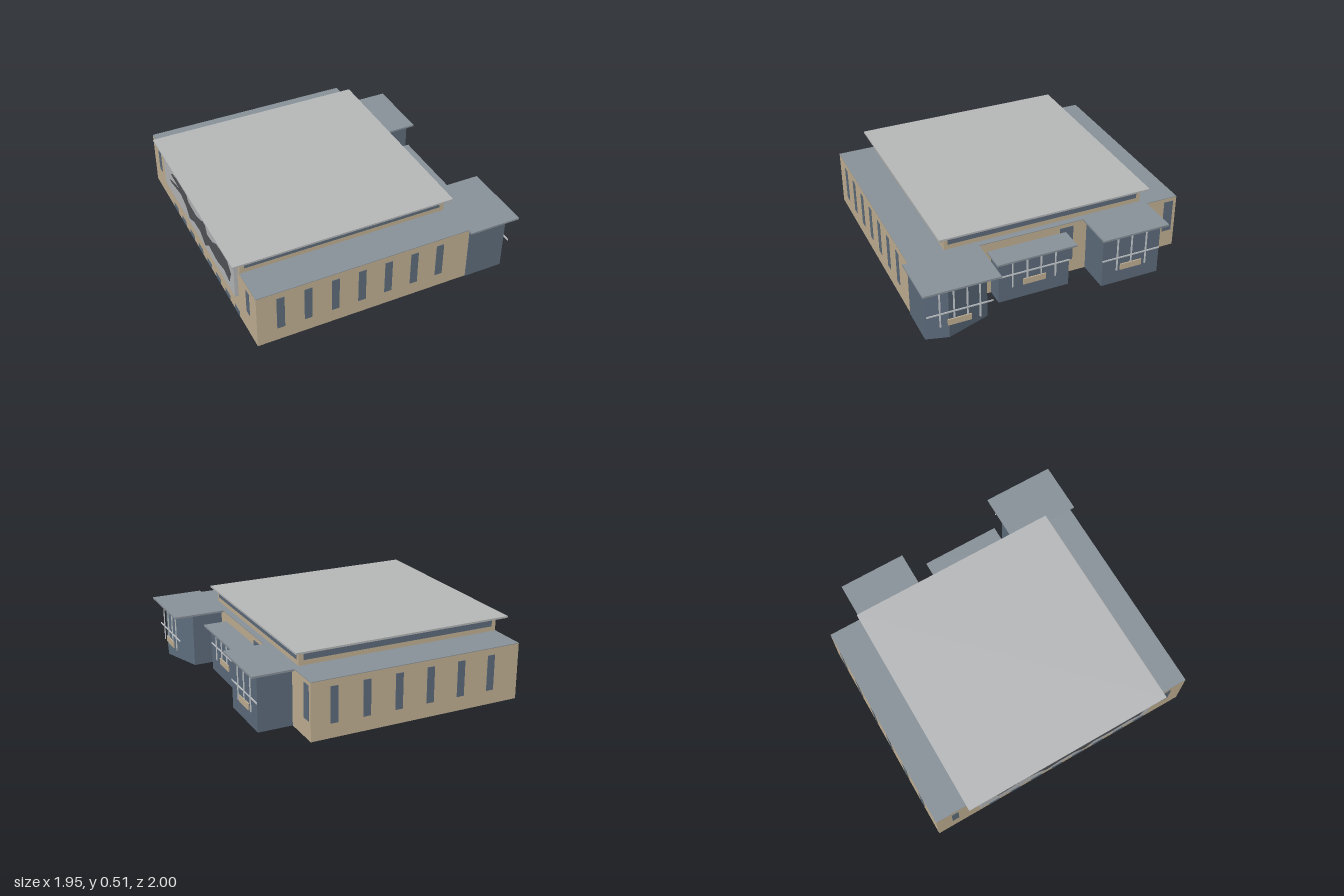
import * as THREE from 'three';

const mat = (name, color) => {
  const m = new THREE.MeshStandardMaterial({ color });
  m.name = name;
  return m;
};

export function createModel() {
  const wall = mat('tan wall', 0xc4b396);
  const glass = mat('blue glass', 0x5f6e7e);
  const lowRoof = mat('slate roof', 0x8a939b);
  const topRoof = mat('pale grey roof', 0xb8babb);
  const frame = mat('light frame', 0xc8ccd0);
  const dark = mat('dark mural', 0x525559);

  const model = new THREE.Group();
  model.name = 'building';

  // box given by its limits on each axis
  const box = (name, m, x0, x1, y0, y1, z0, z1, parent = model) => {
    const mesh = new THREE.Mesh(new THREE.BoxGeometry(x1 - x0, y1 - y0, z1 - z0), m);
    mesh.position.set((x0 + x1) / 2, (y0 + y1) / 2, (z0 + z1) / 2);
    mesh.name = name;
    parent.add(mesh);
    return mesh;
  };
  const T = 0.003; // thickness of window plates

  // Lower storey and its flat roof
  box('lowerStorey', wall, -0.915, 0.61, 0, 0.396, -1, 0.965);
  box('lowerRoof', lowRoof, -0.915, 0.61, 0.396, 0.4, -1, 0.965);

  // Upper storey, clerestory strips and overhanging roof
  box('upperStorey', wall, -0.912, 0.565, 0.4, 0.497, -0.73, 0.705);
  box('frontClerestory', glass, -0.88, 0.53, 0.435, 0.49, 0.705, 0.705 + T);
  box('backClerestory', glass, -0.88, 0.53, 0.435, 0.49, -0.73 - T, -0.73);
  box('rightClerestory', glass, 0.565, 0.565 + T, 0.435, 0.49, -0.7, 0.68);
  box('mainRoof', topRoof, -0.975, 0.605, 0.497, 0.51, -0.78, 0.75);

  // Tall windows on the front and back walls
  for (let i = 0; i < 7; i++) {
    const x = -0.752 + i * 0.1905;
    box('frontWindow', glass, x - 0.027, x + 0.027, 0.1, 0.35, 0.965, 0.965 + T);
  }
  for (let i = 0; i < 6; i++) {
    const x = -0.7 + i * 0.23;
    box('backWindow', glass, x - 0.027, x + 0.027, 0.1, 0.35, -1 - T, -1);
  }

  // Side wall windows
  box('sideWindow', glass, 0.61, 0.61 + T, 0.1, 0.37, -0.2, -0.1);
  box('sideWindow', glass, 0.61, 0.61 + T, 0.13, 0.37, -0.975, -0.905);
  for (const z of [-0.86, 0.83]) {
    box('sideWindow', glass, -0.915 - T, -0.915, 0.17, 0.35, z - 0.025, z + 0.025);
  }
  for (let i = 0; i < 8; i++) {
    const z = -0.56 + i * 0.17;
    box('basementWindow', glass, -0.915 - T, -0.915, 0.005, 0.045, z - 0.04, z + 0.04);
  }

  // Mural panel on the left wall
  box('muralPanel', topRoof, -0.94, -0.912, 0.185, 0.497, -0.68, 0.67);
  const outline = [
    [-0.56, 0.3], [-0.36, 0.355], [-0.52, 0.365], [-0.49, 0.39], [-0.36, 0.417], [-0.2, 0.418],
    [-0.15, 0.37], [-0.01, 0.36], [0.1, 0.39], [0.16, 0.45], [0.2, 0.35], [0.3, 0.36],
    [0.37, 0.4], [0.45, 0.41], [0.53, 0.465], [0.58, 0.4], [0.63, 0.35], [0.59, 0.25],
    [0.5, 0.28], [0.37, 0.253], [0.22, 0.27], [0.145, 0.21], [0.06, 0.27], [-0.06, 0.265],
    [-0.16, 0.225], [-0.22, 0.29], [-0.32, 0.325], [-0.54, 0.285],
  ].map(([z, y]) => new THREE.Vector2(z, y));
  const mural = new THREE.Mesh(new THREE.ShapeGeometry(new THREE.Shape(outline)), dark);
  mural.geometry.rotateY(-Math.PI / 2);
  mural.position.x = -0.943;
  mural.name = 'muralArtwork';
  model.add(mural);

  // Glazed bays on the right side: footprint [x, z], roof, frame bars and sill panel
  const bays = [
    { name: 'frontBay', foot: [[0.61, 0.97], [0.89, 0.97], [0.93, 0.82], [0.83, 0.52], [0.61, 0.52]],
      x: 0.93, z: [0.52, 0.97], h: 0.387, roof: [0.605, 0.975, 0.48, 1],
      bars: [0.88, 0.785, 0.695, 0.61], sill: [0.67, 0.83] },
    { name: 'middleBay', foot: [[0.61, 0.4], [0.735, 0.4], [0.735, -0.11], [0.61, -0.11]],
      x: 0.735, z: [-0.11, 0.4], h: 0.322, roof: [0.61, 0.78, -0.145, 0.425],
      bars: [0.3, 0.195, 0.095, -0.01], sill: [0.06, 0.225] },
    { name: 'backBay', foot: [[0.61, -0.3], [0.85, -0.3], [0.85, -0.73], [0.61, -0.73]],
      x: 0.85, z: [-0.73, -0.3], h: 0.387, roof: [0.61, 0.897, -0.765, -0.275],
      bars: [-0.41, -0.515, -0.625], sill: [-0.595, -0.435] },
  ];
  for (const b of bays) {
    const g = new THREE.Group();
    g.name = b.name;
    model.add(g);
    const shape = new THREE.Shape(b.foot.map(([x, z]) => new THREE.Vector2(x, -z)));
    const geo = new THREE.ExtrudeGeometry(shape, { depth: b.h, bevelEnabled: false });
    geo.rotateX(-Math.PI / 2);
    const body = new THREE.Mesh(geo, glass);
    body.name = 'bayGlass';
    g.add(body);
    const [x0, x1, z0, z1] = b.roof;
    box('bayRoof', lowRoof, x0, x1, b.h, b.h + 0.013, z0, z1, g);
    for (const z of b.bars) {
      box('mullion', frame, b.x, b.x + 0.006, 0.1, b.h, z - 0.005, z + 0.005, g);
    }
    box('transom', frame, b.x, b.x + 0.005, 0.195, 0.205, b.z[0], b.z[1], g);
    box('sillPanel', wall, b.x, b.x + 0.008, 0.1, 0.145, b.sill[0], b.sill[1], g);
  }

  return model;
}
